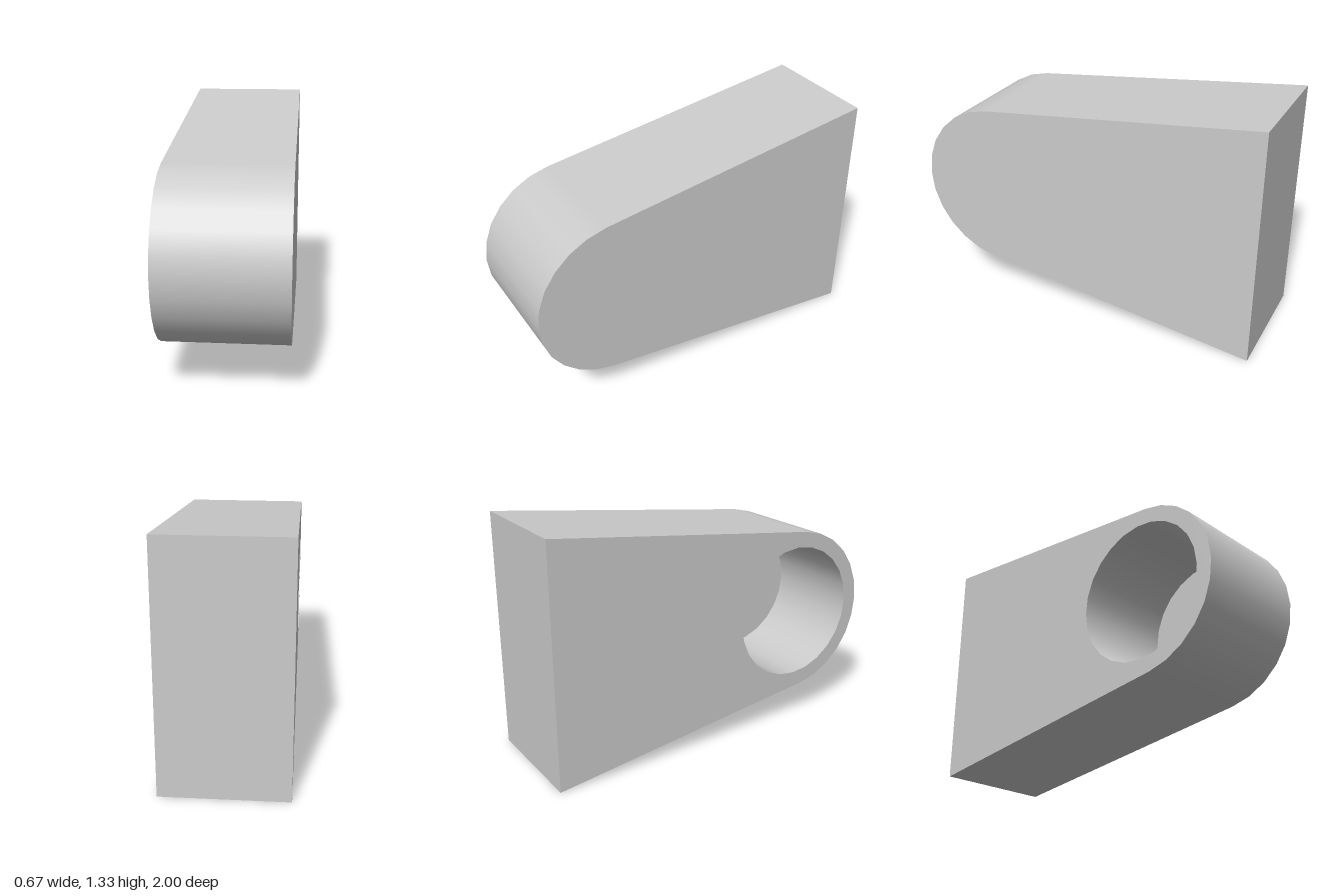
import * as THREE from 'three';

const HALF = 1 / 3;           // half width along x
const MID = 2 / 3;            // height of the round nose's axis
const CZ = 0.53, R = 0.47;    // nose centre and radius
const HOLE = 0.383, DEPTH = 0.58;

// Side outline as (z, y) points: square back, straight tapers, round nose
function outline() {
  const run = CZ + 1;
  const t = Math.atan2(MID, run) + Math.acos(R / Math.hypot(run, MID));
  const pts = [new THREE.Vector2(-1, 0), new THREE.Vector2(-1, 2 * MID)];
  for (let i = 0; i <= 12; i++) {
    const a = t + (2 * Math.PI - 2 * t) * i / 12;
    pts.push(new THREE.Vector2(CZ - R * Math.cos(a), MID + R * Math.sin(a)));
  }
  return pts;
}

// Side shape; s = -1 for the +x face, s = 1 for the -x face
function sideShape(s) {
  return new THREE.Shape(outline().map(p => new THREE.Vector2(s * p.x, p.y)));
}

// Outer wall: the extruded rim without caps, smooth around the nose
function rimGeometry() {
  const ext = new THREE.ExtrudeGeometry(sideShape(-1), { depth: 2 * HALF, bevelEnabled: false });
  ext.translate(0, 0, -HALF).rotateY(Math.PI / 2);
  const { start, count } = ext.groups[1];
  const geo = new THREE.BufferGeometry();
  geo.setAttribute('position', new THREE.Float32BufferAttribute(
    ext.attributes.position.array.slice(start * 3, (start + count) * 3), 3));
  geo.computeVertexNormals();
  const p = geo.attributes.position, n = geo.attributes.normal;
  for (let i = 0; i < p.count; i++) {
    if (p.getZ(i) > CZ) n.setXYZ(i, 0, (p.getY(i) - MID) / R, (p.getZ(i) - CZ) / R);
  }
  return geo;
}

export function createModel() {
  const group = new THREE.Group();
  const mat = new THREE.MeshStandardMaterial({ color: 0xcccccc });
  const inner = new THREE.MeshStandardMaterial({ color: 0xcccccc, side: THREE.DoubleSide });
  const add = (name, geo, m = mat) => {
    const mesh = new THREE.Mesh(geo, m);
    mesh.name = name;
    group.add(mesh);
    return mesh;
  };

  add('outerWall', rimGeometry());

  // Solid left face
  add('closedSide', new THREE.ShapeGeometry(sideShape(-1)).rotateY(Math.PI / 2).translate(HALF, 0, 0));

  // Right face with the round opening
  const holed = sideShape(1);
  const circle = [];
  for (let i = 0; i < 24; i++) {
    const a = i * Math.PI / 12;
    circle.push(new THREE.Vector2(CZ + HOLE * Math.cos(a), MID + HOLE * Math.sin(a)));
  }
  holed.holes.push(new THREE.Path(circle));
  add('openSide', new THREE.ShapeGeometry(holed).rotateY(-Math.PI / 2).translate(-HALF, 0, 0));

  // Blind bore and its floor
  add('boreWall', new THREE.CylinderGeometry(HOLE, HOLE, DEPTH, 24, 1, true).rotateZ(Math.PI / 2), inner)
    .position.set(-HALF + DEPTH / 2, MID, CZ);
  add('boreFloor', new THREE.CircleGeometry(HOLE, 24).rotateY(-Math.PI / 2))
    .position.set(-HALF + DEPTH, MID, CZ);

  return group;
}
